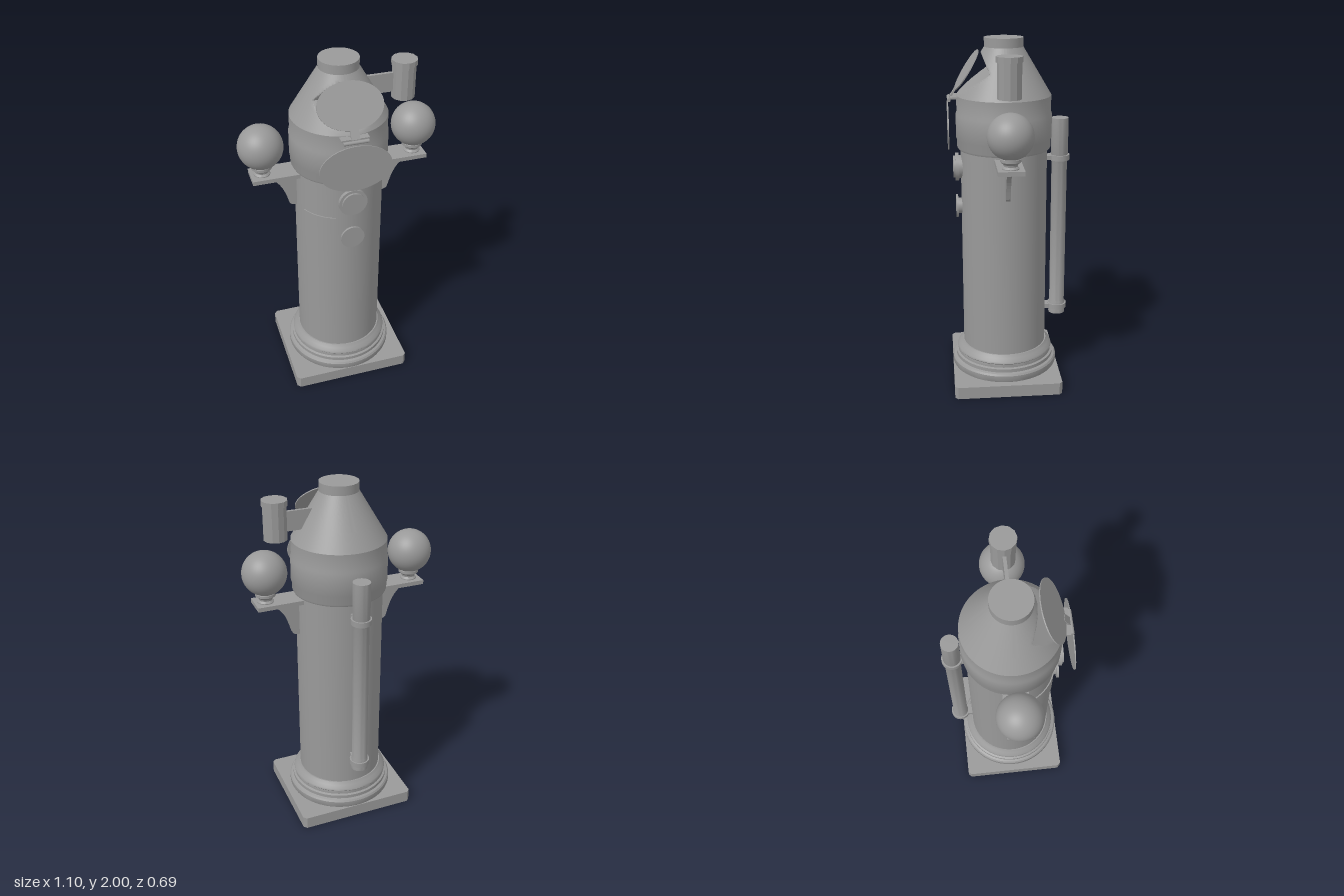
import * as THREE from 'three';
import { toCreasedNormals } from 'three/addons/utils/BufferGeometryUtils.js';

const AXIS_Z = 0.03; // the column stands slightly forward of the centre

export function createModel() {
  const model = new THREE.Group();
  model.name = 'binnacle';
  const grey = new THREE.MeshStandardMaterial({ color: 0x999999 });
  grey.name = 'grey';

  const add = (name, geometry, x = 0, y = 0, z = AXIS_Z, parent = model) => {
    const mesh = new THREE.Mesh(geometry, grey);
    mesh.name = name;
    mesh.position.set(x, y, z);
    parent.add(mesh);
    return mesh;
  };
  const lathe = (points, segments = 64) => toCreasedNormals(
    new THREE.LatheGeometry(points.map(([r, y]) => new THREE.Vector2(r, y)), segments), 0.5);
  const box = (w, h, d) => new THREE.BoxGeometry(w, h, d);
  const disc = (r, depth) => new THREE.CylinderGeometry(r, r, depth, 48).rotateX(Math.PI / 2);

  // Square plinth with clipped corners
  const w = 0.348, d = 0.31, c = 0.018;
  const plan = new THREE.Shape([
    [-w + c, -d], [w - c, -d], [w, -d + c], [w, d - c],
    [w - c, d], [-w + c, d], [-w, d - c], [-w, -d + c],
  ].map(([x, y]) => new THREE.Vector2(x, y)));
  add('plinth', new THREE.ExtrudeGeometry(plan, { depth: 0.072, bevelEnabled: false }).rotateX(-Math.PI / 2));

  // Stepped foot moulding
  add('footMoulding', lathe([
    [0.24, 0.07], [0.305, 0.07], [0.31, 0.08], [0.31, 0.11], [0.303, 0.12], [0.29, 0.125],
    [0.29, 0.145], [0.278, 0.15], [0.278, 0.17], [0.282, 0.175], [0.278, 0.185],
    [0.262, 0.2], [0.25, 0.217], [0.24, 0.217],
  ]));
  add('column', lathe([[0.243, 0.2], [0.243, 1.41]]));

  // Banded drum that holds the compass
  add('compassDrum', lathe([
    [0.24, 1.393], [0.256, 1.393], [0.262, 1.405], [0.262, 1.445], [0.267, 1.455],
    [0.267, 1.585], [0.262, 1.6], [0.262, 1.69], [0.255, 1.7], [0.2, 1.7],
  ]));

  // Conical hood, with a wedge cut from its front as the viewing opening
  const hoodProfile = [];
  for (let i = 0; i <= 26; i++) hoodProfile.push(new THREE.Vector2(0.262 - 0.155 * i / 26, 1.69 + i * 0.01));
  const hood = new THREE.LatheGeometry(hoodProfile, 128);
  const p = hood.attributes.position;
  for (let i = 0; i < p.count; i++) {
    const y = p.getY(i);
    if (y < 1.699 || y > 1.925) continue;
    const cut = y <= 1.82
      ? THREE.MathUtils.mapLinear(y, 1.7, 1.82, 0.256, 0.085)
      : THREE.MathUtils.mapLinear(y, 1.82, 1.92, 0.085, 0.125);
    p.setZ(i, Math.min(p.getZ(i), cut));
  }
  add('hood', toCreasedNormals(hood, 0.5));
  add('hoodCap', lathe([[0.107, 1.945], [0.107, 2], [0, 2]]));

  // Raised oval lid, leaning back over the opening
  const lid = new THREE.Group();
  lid.name = 'raisedLid';
  lid.position.set(0, 1.827, 0.234);
  lid.rotation.x = -Math.atan2(0.066, 0.105);
  model.add(lid);
  add('lidPlate', disc(1, 0.006).scale(0.175, 0.124, 1), 0, 0, 0, lid);
  add('lidStrap', box(0.045, 0.06, 0.01), 0, -0.14, 0, lid);

  // Lowered oval cover hanging in front of the drum
  add('hangingCover', disc(1, 0.006).scale(0.195, 0.132, 1), 0, 1.523, 0.34);
  add('hingePin', new THREE.CylinderGeometry(0.01, 0.01, 0.134, 16).rotateZ(Math.PI / 2), 0, 1.673, 0.333);
  add('hingeLeaf', box(0.15, 0.01, 0.04), 0, 1.683, 0.305);

  // Round covers on the front of the column
  add('upperCover', disc(0.078, 0.02), 0, 1.285, 0.295);
  add('upperCoverRim', disc(0.063, 0.012), 0, 1.285, 0.31);
  add('upperCoverNeck', disc(0.065, 0.04), 0, 1.285, 0.272);
  add('lowerCover', disc(0.066, 0.012), 0, 1.055, 0.298);
  add('lowerCoverNeck', disc(0.045, 0.04), 0, 1.055, 0.275);

  // Curved access door on the front right of the column
  const from = THREE.MathUtils.degToRad(-156), to = THREE.MathUtils.degToRad(-110);
  const arc = new THREE.Shape();
  arc.absarc(0, 0, 0.249, from, to, false);
  arc.absarc(0, 0, 0.238, to, from, true);
  add('accessDoor', toCreasedNormals(new THREE.ExtrudeGeometry(arc,
    { depth: 0.225, bevelEnabled: false, curveSegments: 16 }).rotateX(-Math.PI / 2), 0.5), 0, 0.947);

  // Corrector balls on bracketed shelves, one each side
  const web = new THREE.Shape();
  web.moveTo(0.235, 1.36);
  web.lineTo(0.44, 1.36);
  web.bezierCurveTo(0.34, 1.345, 0.31, 1.26, 0.285, 1.17);
  web.quadraticCurveTo(0.275, 1.152, 0.25, 1.152);
  web.lineTo(0.235, 1.152);
  const webGeometry = new THREE.ExtrudeGeometry(web, { depth: 0.026, bevelEnabled: false }).translate(0, 0, -0.013);
  for (const side of [1, -1]) {
    const arm = new THREE.Group();
    arm.name = side > 0 ? 'leftCorrector' : 'rightCorrector';
    arm.position.z = AXIS_Z;
    if (side < 0) arm.rotation.y = Math.PI;
    model.add(arm);
    add('shelf', box(0.27, 0.024, 0.14), 0.355, 1.368, 0, arm);
    add('bracketWeb', webGeometry, 0, 0, 0, arm);
    add('ballFoot', lathe([[0.045, 1.375], [0.045, 1.385], [0.036, 1.395], [0.038, 1.405],
      [0.056, 1.42], [0.056, 1.435], [0.04, 1.45]], 32), 0.427, 0, 0, arm);
    add('correctorBall', new THREE.SphereGeometry(0.122, 40, 28), 0.427, 1.547, 0, arm);
  }

  // Faceted lamp on the left of the hood
  const lamp = (r, h) => toCreasedNormals(new THREE.CylinderGeometry(r, r, h, 12), 0.3);
  add('lampBody', lamp(0.064, 0.2), 0.357, 1.827);
  add('lampCap', lamp(0.07, 0.03), 0.357, 1.927);
  add('lampArm', box(0.18, 0.108, 0.018), 0.23, 1.818);

  // Vertical bar tube clamped to the back
  const tubeZ = -0.286;
  add('barTube', lathe([[0, 0.37], [0.048, 0.37], [0.048, 0.44], [0.044, 0.45], [0.044, 1.3],
    [0.048, 1.31], [0.048, 1.555], [0, 1.555]], 32), 0, 0, tubeZ);
  for (const y of [0.415, 1.33]) {
    add('tubeClamp', new THREE.CylinderGeometry(0.057, 0.057, 0.03, 32), 0, y, tubeZ);
    add('clampLink', box(0.06, 0.025, 0.06), 0, y, -0.222);
  }
  return model;
}
